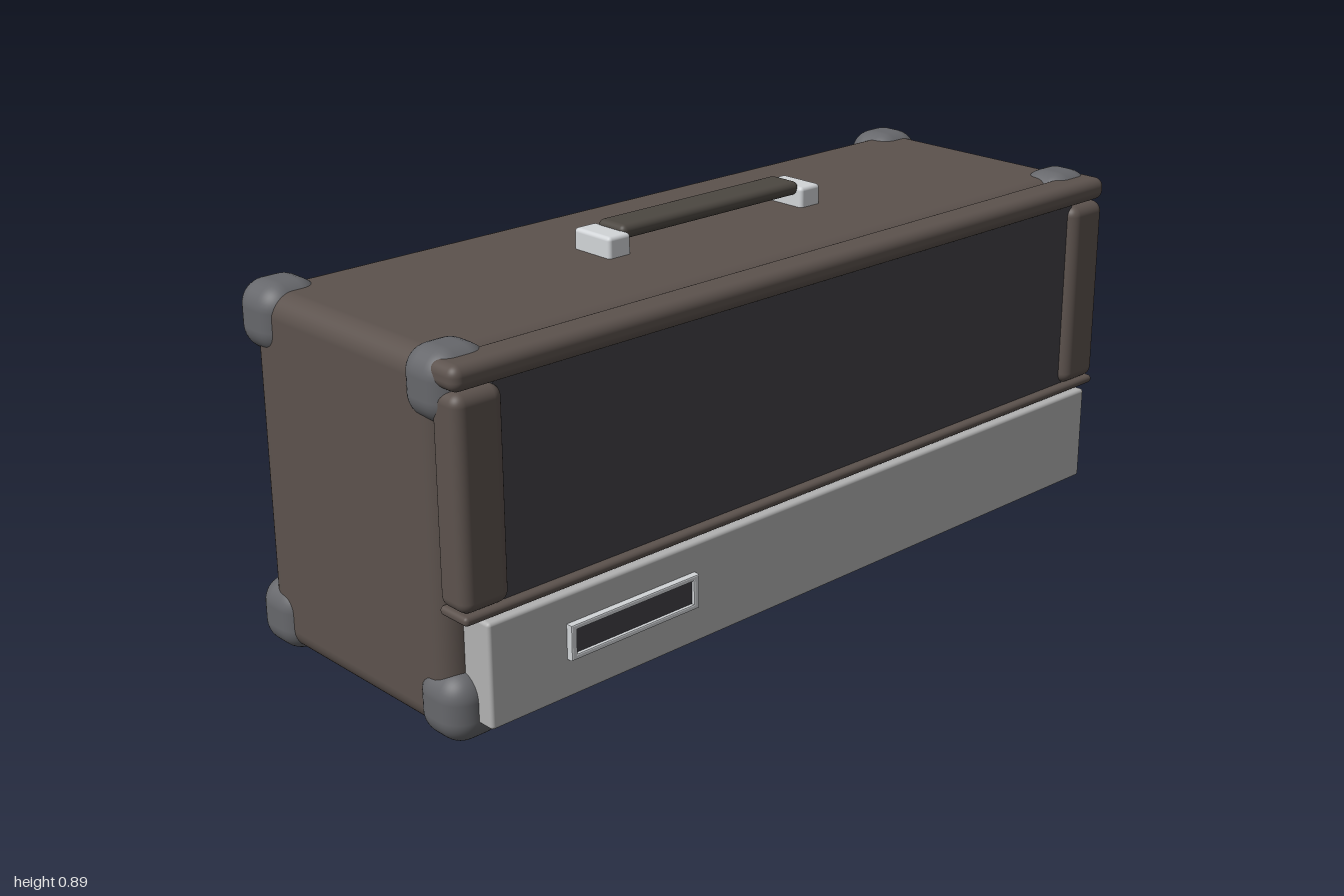
import * as THREE from 'three';
import { RoundedBoxGeometry } from 'three/addons/geometries/RoundedBoxGeometry.js';

const mat = (color) => new THREE.MeshStandardMaterial({ color });

export function createModel() {
  const model = new THREE.Group();
  const covering = mat(0x5c524d);
  const guardMat = mat(0x66676b);
  const grilleMat = mat(0x414046);
  const panelMat = mat(0xb2b2b2);
  const metal = mat(0xd2d5d8);
  const rubber = mat(0x3c3c3e);
  const gripMat = mat(0x4c4741);

  const add = (name, geometry, material, x = 0, y = 0, z = 0) => {
    const mesh = new THREE.Mesh(geometry, material);
    mesh.name = name;
    mesh.position.set(x, y, z);
    model.add(mesh);
    return mesh;
  };
  // Rounded block given by its lower and upper limits on each axis
  const block = (name, [x0, x1], [y0, y1], [z0, z1], radius, material) =>
    add(name, new RoundedBoxGeometry(x1 - x0, y1 - y0, z1 - z0, 5, radius), material,
      (x0 + x1) / 2, (y0 + y1) / 2, (z0 + z1) / 2);
  const span = (side, a, b) => (side > 0 ? [a, b] : [-b, -a]);

  // Cabinet
  block('cabinet', [-0.985, 0.985], [0.03, 0.83], [-0.34, 0.287], 0.05, covering);

  // Front frame: top rail, thin middle rail, side posts
  block('topRail', [-0.99, 0.99], [0.778, 0.832], [0.27, 0.355], 0.022, covering);
  block('middleRail', [-0.985, 0.985], [0.305, 0.325], [0.27, 0.355], 0.009, covering);
  for (const side of [-1, 1]) {
    block('sidePost', span(side, 0.87, 0.988), [0.325, 0.775], [0.27, 0.356], 0.025, covering);
  }

  // Speaker grille
  add('grille', new THREE.BoxGeometry(1.77, 0.47, 0.06), grilleMat, 0, 0.55, 0.305);

  // Control panel
  block('controlPanel', [-0.94, 0.94], [0.07, 0.302], [0.275, 0.365], 0.008, panelMat);

  // Framed slot on the control panel
  const rect = (shape, w, h) => {
    shape.moveTo(-w, -h);
    shape.lineTo(w, -h);
    shape.lineTo(w, h);
    shape.lineTo(-w, h);
    shape.closePath();
    return shape;
  };
  const frame = rect(new THREE.Shape(), 0.172, 0.036);
  frame.holes.push(rect(new THREE.Path(), 0.163, 0.03));
  add('slotFrame', new THREE.ExtrudeGeometry(frame, {
    depth: 0.015, bevelEnabled: true, bevelSize: 0.003, bevelThickness: 0.003, bevelSegments: 2,
  }), metal, -0.57, 0.197, 0.362);
  add('slotInsert', new THREE.BoxGeometry(0.33, 0.064, 0.02), grilleMat, -0.57, 0.197, 0.363);

  // Domed guards on all eight corners
  for (const side of [-1, 1]) {
    for (const y of [[0.02, 0.172], [0.693, 0.845]]) {
      for (const z of [[-0.38, -0.234], [0.182, 0.325]]) {
        block('cornerGuard', span(side, 0.852, 0.998), y, z, 0.055, guardMat);
      }
    }
  }

  // Carrying handle: two end brackets and a soft grip
  for (const side of [-1, 1]) {
    block('handleBracket', span(side, 0.262, 0.325), [0.82, 0.877], [-0.085, 0.031], 0.009, metal);
  }
  block('handleGrip', [-0.272, 0.272], [0.857, 0.889], [-0.071, 0.016], 0.014, gripMat);

  // Tapered feet
  for (const x of [-0.725, 0.725]) {
    for (const z of [-0.226, 0.175]) {
      add('foot', new THREE.CylinderGeometry(0.047, 0.043, 0.04, 32), rubber, x, 0.02, z);
    }
  }
  return model;
}
